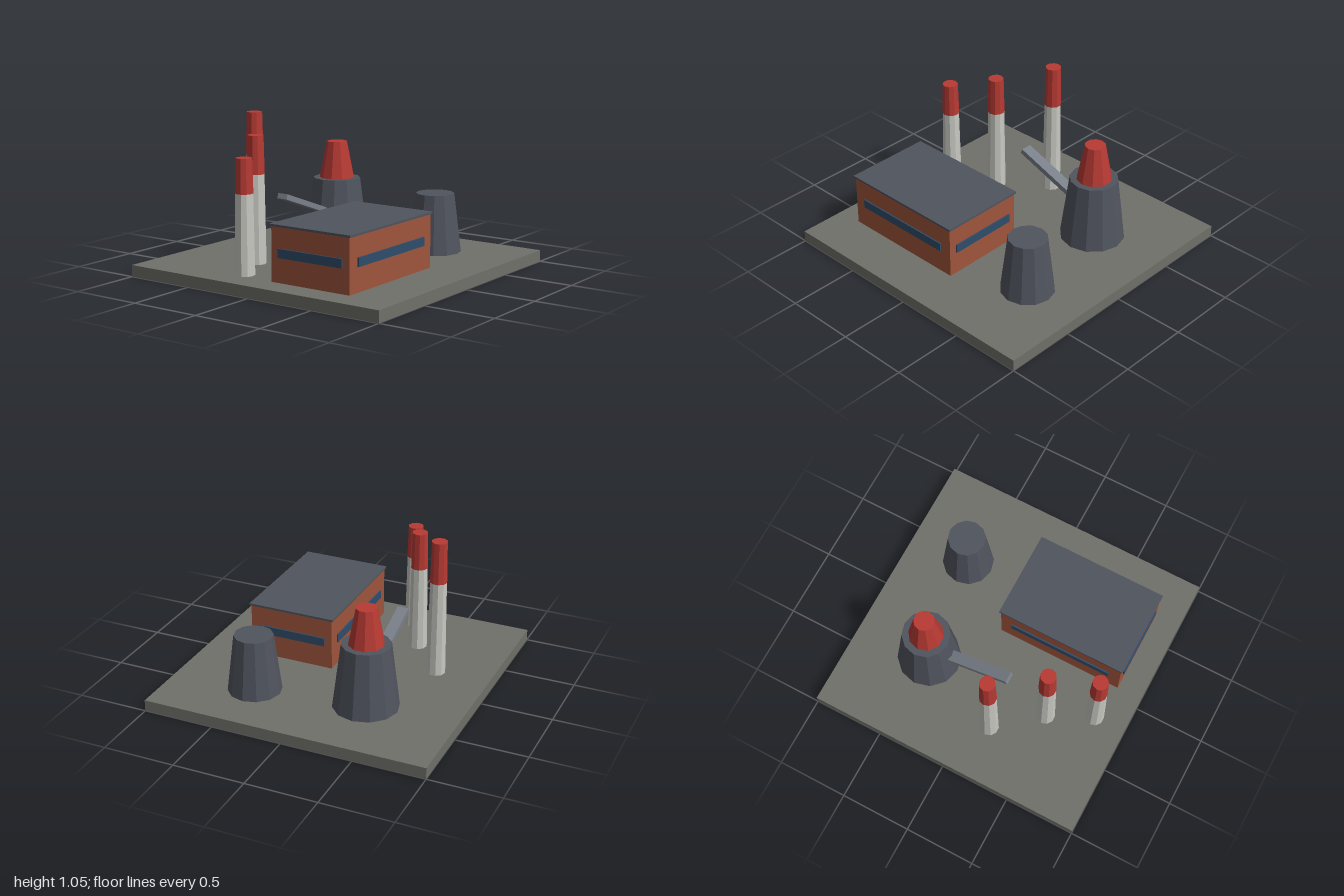
import * as THREE from 'three';

const material = (color) => new THREE.MeshStandardMaterial({ color, flatShading: true });

export function createModel() {
  const model = new THREE.Group();
  model.name = 'factory';

  const ground = material(0x70706a);
  const brick = material(0xa0553c);
  const slate = material(0x50545e);
  const glass = material(0x2f4d6b);
  const red = material(0xb83a33);
  const white = material(0xc8c8c2);
  const steel = material(0x7a808a);

  const add = (name, geometry, mat, x, y, z, parent = model) => {
    const mesh = new THREE.Mesh(geometry, mat);
    mesh.name = name;
    mesh.position.set(x, y, z);
    parent.add(mesh);
    return mesh;
  };
  const box = (name, w, h, d, mat, x, y, z, parent) =>
    add(name, new THREE.BoxGeometry(w, h, d), mat, x, y, z, parent);
  // Tapered drum standing between heights y0 and y1
  const drum = (name, rBottom, rTop, y0, y1, sides, mat, x, z, parent) =>
    add(name, new THREE.CylinderGeometry(rTop, rBottom, y1 - y0, sides), mat, x, (y0 + y1) / 2, z, parent);

  const floor = 0.08;
  box('basePlate', 2, floor, 2, ground, 0, floor / 2, 0);

  // Brick hall; each window strip runs through and stands slightly proud of both walls
  const hall = new THREE.Group();
  hall.name = 'hall';
  hall.position.set(-0.36, 0, 0.355);
  model.add(hall);
  box('walls', 0.92, 0.37, 0.61, brick, 0, 0.265, 0, hall);
  box('roof', 0.94, 0.015, 0.63, slate, 0, 0.4525, 0, hall);
  box('frontBackWindows', 0.75, 0.06, 0.63, glass, 0, 0.275, 0, hall);
  box('sideWindows', 0.94, 0.06, 0.5, glass, 0, 0.275, 0, hall);

  // Three chimneys, the top 30% painted red
  const chimneys = [[-0.77, -0.21, 0.85], [-0.465, -0.36, 0.95], [-0.16, -0.615, 1.055]];
  for (const [x, z, top] of chimneys) {
    const chimney = new THREE.Group();
    chimney.name = 'chimney';
    chimney.position.set(x, 0, z);
    model.add(chimney);
    const band = floor + (top - floor) * 0.7;
    drum('shaft', 0.067, 0.058, floor, band, 10, white, 0, 0, chimney);
    drum('redTop', 0.06, 0.054, band, top, 10, red, 0, 0, chimney);
  }

  // Cooling towers, the larger one capped with a red cone
  drum('largeTower', 0.225, 0.167, floor, 0.54, 12, slate, 0.455, -0.36);
  drum('towerCone', 0.122, 0.072, 0.54, 0.8, 10, red, 0.455, -0.36);
  drum('smallTower', 0.184, 0.133, floor, 0.49, 12, slate, 0.56, 0.405);

  // Sloping conveyor leading into the large tower
  const conveyor = box('conveyor', 0.6, 0.037, 0.08, steel, 0.102, 0.392, -0.36);
  conveyor.rotation.z = -0.345;

  return model;
}
